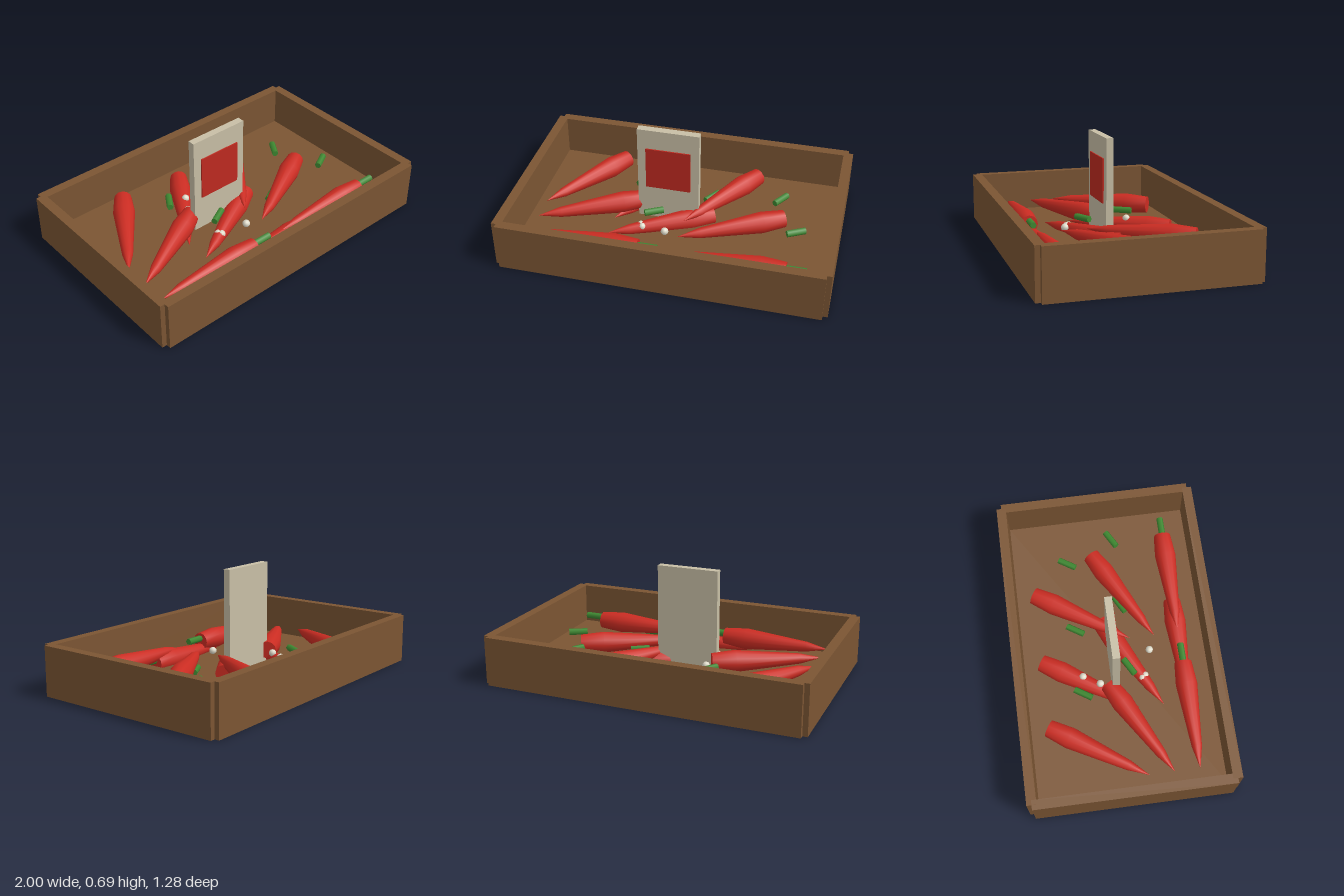
import * as THREE from 'three';

const material = (name, color) => {
  const m = new THREE.MeshStandardMaterial({ color });
  m.name = name;
  return m;
};

export function createModel() {
  const wood = material('brown wood', 0x7b5533);
  const carrotRed = material('carrot red', 0xcb2c22);
  const signRed = material('sign red', 0xbf2a20);
  const card = material('pale card', 0xc8bfa6);
  const green = material('stem green', 0x3f8a32);
  const white = material('pebble white', 0xe0dccb);

  const model = new THREE.Group();
  model.name = 'vegetableCrate';

  const add = (name, geometry, mat, x, y, z, parent = model) => {
    const mesh = new THREE.Mesh(geometry, mat);
    mesh.name = name;
    mesh.position.set(x, y, z);
    parent.add(mesh);
    return mesh;
  };
  const box = (w, h, d) => new THREE.BoxGeometry(w, h, d);

  // Crate: floor and four walls, with notched outer corners
  const height = 0.305;
  const crate = new THREE.Group();
  crate.name = 'crate';
  model.add(crate);
  add('floor', box(1.88, 0.049, 1.16), wood, 0, 0.0255, 0, crate);
  for (const s of [-1, 1]) {
    add(s > 0 ? 'frontWall' : 'backWall', box(1.94, height, 0.06), wood, 0, height / 2, s * 0.61, crate);
    add(s > 0 ? 'leftWall' : 'rightWall', box(0.06, height, 1.22), wood, s * 0.97, height / 2, 0, crate);
  }

  // Upright price card with a coloured panel on its front
  add('signCard', box(0.385, 0.69, 0.045), card, -0.08, 0.345, -0.019);
  add('signPanel', box(0.28, 0.28, 0.008), signRed, -0.08, 0.42, 0.0075);

  // Carrot body along +x from the tip, with a flat cut end
  const sides = 12;
  const body = new THREE.LatheGeometry(
    [[0, 0], [0.032, 0.14], [0.068, 0.54], [0.055, 0.685]].map(([r, l]) => new THREE.Vector2(r, l)), sides);
  body.rotateZ(-Math.PI / 2);
  const cap = new THREE.CircleGeometry(0.055, sides);
  cap.rotateY(Math.PI / 2);
  const stem = new THREE.CylinderGeometry(0.021, 0.021, 0.12, 6);
  stem.rotateZ(-Math.PI / 2);

  // Three rows, each turned further; the middle column lies lower
  const rows = [
    { angle: 0, tipZ: 0.42, stemX: 0.745, stemZ: 0.42 },
    { angle: 0.5, tipZ: 0.265, stemX: 0.696, stemZ: 0.078 },
    { angle: 1, tipZ: 0.11, stemX: 0.557, stemZ: -0.228 },
  ];
  for (const { angle, tipZ, stemX, stemZ } of rows) {
    for (let col = 0; col < 3; col++) {
      const x = -0.85 + 0.445 * col;
      const y = col === 1 ? 0.072 : 0.127;
      const carrot = new THREE.Group();
      carrot.name = 'carrot';
      carrot.position.set(x, y, tipZ);
      carrot.rotation.y = angle;
      model.add(carrot);
      add('carrotBody', body, carrotRed, 0, 0, 0, carrot);
      add('carrotEnd', cap, carrotRed, 0.685, 0, 0, carrot);
      add('stem', stem, green, x + stemX, y + 0.02, stemZ).rotation.y = angle;
    }
  }

  // Scattered small pebbles
  const pebble = new THREE.IcosahedronGeometry(0.024, 1);
  for (const [x, y, z] of [
    [-0.174, 0.12, -0.217], [-0.233, 0.12, -0.115], [-0.05, 0.12, 0.222],
    [-0.205, 0.09, 0.172], [-0.218, 0.09, 0.155],
  ]) add('pebble', pebble, white, x, y, z);

  return model;
}
